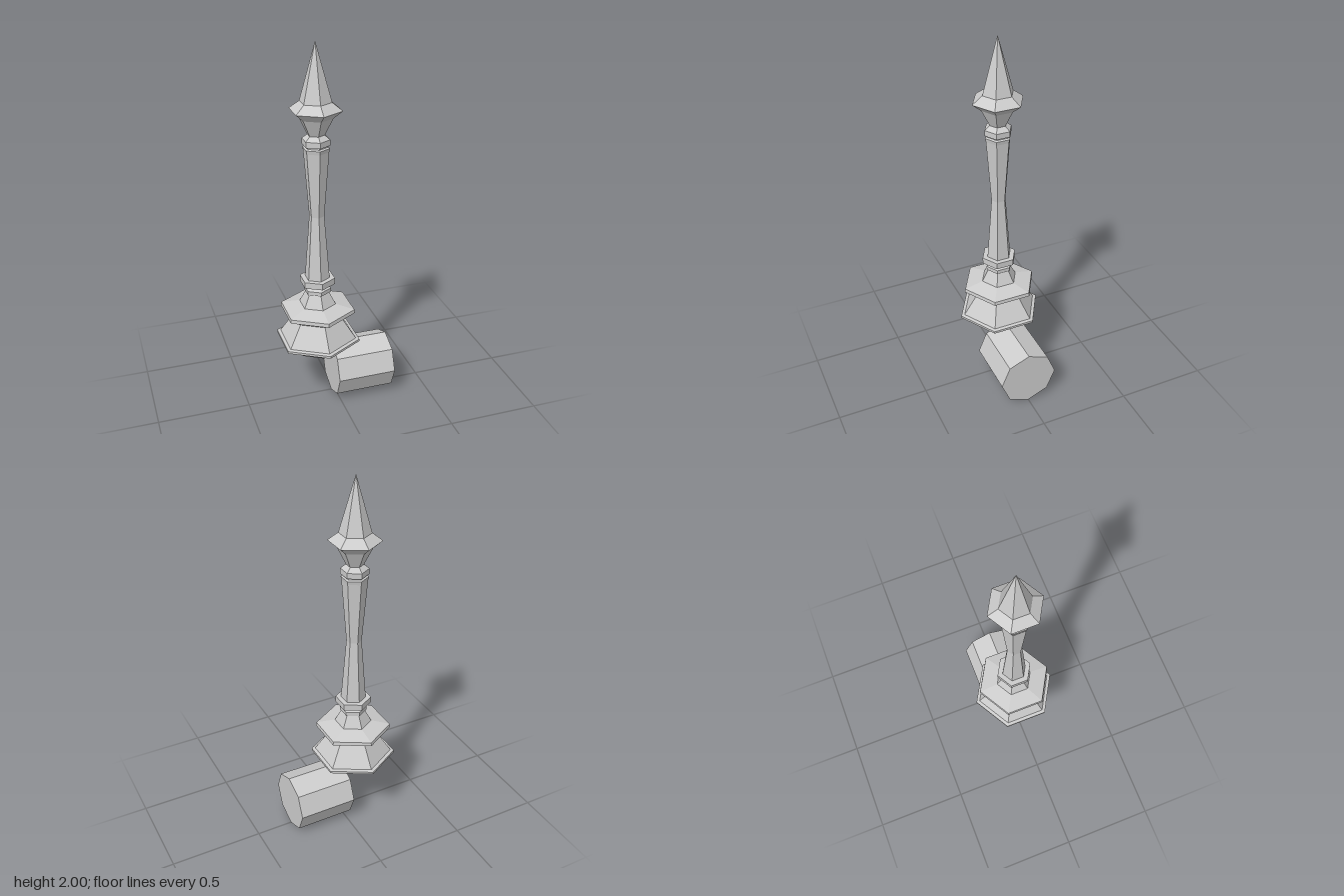
import * as THREE from 'three';

export function createModel() {
  const model = new THREE.Group();
  model.name = 'spiredPost';
  const stone = new THREE.MeshStandardMaterial({ color: 0xcccccc, flatShading: true });
  stone.name = 'paleGrey';

  // Six-sided turned section; profile is [radius, height] from bottom to top
  const post = new THREE.Group();
  post.name = 'post';
  post.position.x = -0.097;
  model.add(post);
  const turned = (name, profile) => {
    const points = profile.map(([r, y]) => new THREE.Vector2(r, y));
    const mesh = new THREE.Mesh(new THREE.LatheGeometry(points, 6), stone);
    mesh.name = name;
    post.add(mesh);
  };

  // Flared foot with a thin rim
  turned('foot', [
    [0, 0.297], [0.115, 0.297], [0.208, 0.37], [0.232, 0.37],
    [0.232, 0.383], [0.212, 0.387], [0.134, 0.503],
  ]);
  // Wide skirt above the foot, narrowing to the neck
  turned('skirt', [
    [0.134, 0.503], [0.19, 0.545], [0.206, 0.545], [0.203, 0.565],
    [0.1, 0.588], [0.062, 0.66],
  ]);
  // Neck bead and lower collar
  turned('lowerCollar', [
    [0.062, 0.66], [0.073, 0.66], [0.073, 0.682], [0.055, 0.69],
    [0.066, 0.71], [0.096, 0.71], [0.096, 0.745], [0.067, 0.745],
  ]);
  // Waisted shaft
  turned('shaft', [
    [0.067, 0.745], [0.04, 1.1], [0.067, 1.45], [0.071, 1.47], [0.06, 1.475],
  ]);
  // Upper collar
  turned('upperCollar', [
    [0.06, 1.475], [0.06, 1.485], [0.073, 1.485], [0.073, 1.515], [0.045, 1.537],
  ]);
  // Spear-shaped finial
  turned('finial', [
    [0.045, 1.537], [0.089, 1.625], [0.137, 1.665], [0.083, 1.705], [0, 2],
  ]);

  // Eight-sided peg lying along x below the foot
  const peg = new THREE.Mesh(new THREE.CylinderGeometry(0.16, 0.16, 0.322, 8), stone);
  peg.name = 'peg';
  peg.rotation.z = Math.PI / 2;
  peg.position.set(0.14, 0.161, 0);
  model.add(peg);

  return model;
}
